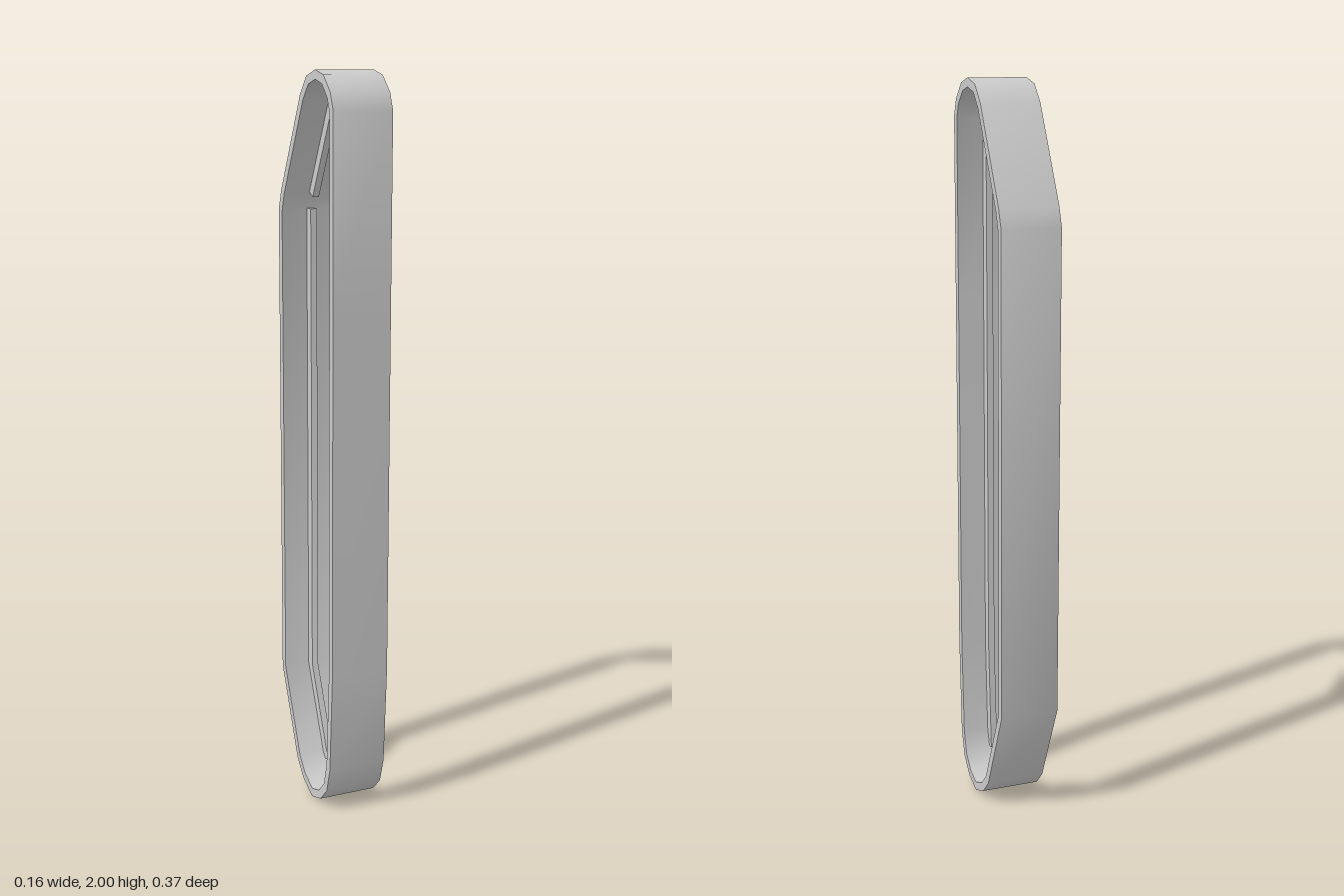
import * as THREE from 'three';
import { toCreasedNormals } from 'three/addons/utils/BufferGeometryUtils.js';

const BAND_WIDTH = 0.163, BAND_THICK = 0.023;
const RIB_WIDTH = 0.018, RIB_DEPTH = 0.027;

// Outer outline of the band as [z, y], from the front top over the top and down the back
const OUTLINE = [
  [0.183, 1.9], [0.165, 1.945], [0.122, 1.987], [0.07, 2], [0.013, 1.985], [-0.03, 1.938],
  [-0.165, 1.687], [-0.183, 1.635], [-0.183, 0.317],
  [-0.073, 0.073], [-0.03, 0.028], [0.034, 0], [0.094, 0.02], [0.138, 0.064], [0.16, 0.135],
  [0.177, 0.41], [0.181, 1.4],
].map(([z, y]) => new THREE.Vector2(z, y));

// Moves a path to its left (the inside of the loop) with mitred corners
function offset(path, distance, closed) {
  const n = path.length;
  const normal = (a, b) => new THREE.Vector2(a.y - b.y, b.x - a.x).normalize();
  return path.map((p, i) => {
    const before = closed || i > 0 ? normal(path[(i + n - 1) % n], p) : null;
    const after = closed || i < n - 1 ? normal(p, path[(i + 1) % n]) : null;
    const a = before || after, b = after || before;
    const m = a.clone().add(b).normalize();
    return p.clone().addScaledVector(m, distance / m.dot(a));
  });
}

// Extrudes a side profile across x, centred on x = 0
function sideExtrude(name, shape, width, material) {
  const flat = new THREE.ExtrudeGeometry(shape, { depth: width, bevelEnabled: false });
  flat.translate(0, 0, -width / 2).rotateY(-Math.PI / 2);
  const mesh = new THREE.Mesh(toCreasedNormals(flat, 0.8), material);
  mesh.name = name;
  return mesh;
}

export function createModel() {
  const group = new THREE.Group();
  group.name = 'bandLoop';
  const material = new THREE.MeshStandardMaterial({ color: 0xcccccc });

  // Closed outer band
  const inner = offset(OUTLINE, BAND_THICK, true);
  const bandShape = new THREE.Shape(OUTLINE);
  bandShape.holes.push(new THREE.Path(inner));
  group.add(sideExtrude('outerBand', bandShape, BAND_WIDTH, material));

  // Narrow ribs running along the inside of the band
  const ribs = {
    upperBackRib: [[-0.012, 1.924], [-0.143, 1.682]],
    backRib: [[-0.16, 1.637], [-0.16, 0.322], [-0.045, 0.067]],
    frontRib: [[0.132, 0.088], [0.154, 0.41], [0.158, 1.4], [0.161, 1.885]],
  };
  for (const [name, points] of Object.entries(ribs)) {
    const path = points.map(([z, y]) => new THREE.Vector2(z, y));
    const outside = offset(path, -0.003, false);
    const inside = offset(path, RIB_DEPTH, false);
    const shape = new THREE.Shape([...outside, ...inside.reverse()]);
    group.add(sideExtrude(name, shape, RIB_WIDTH, material));
  }
  return group;
}
